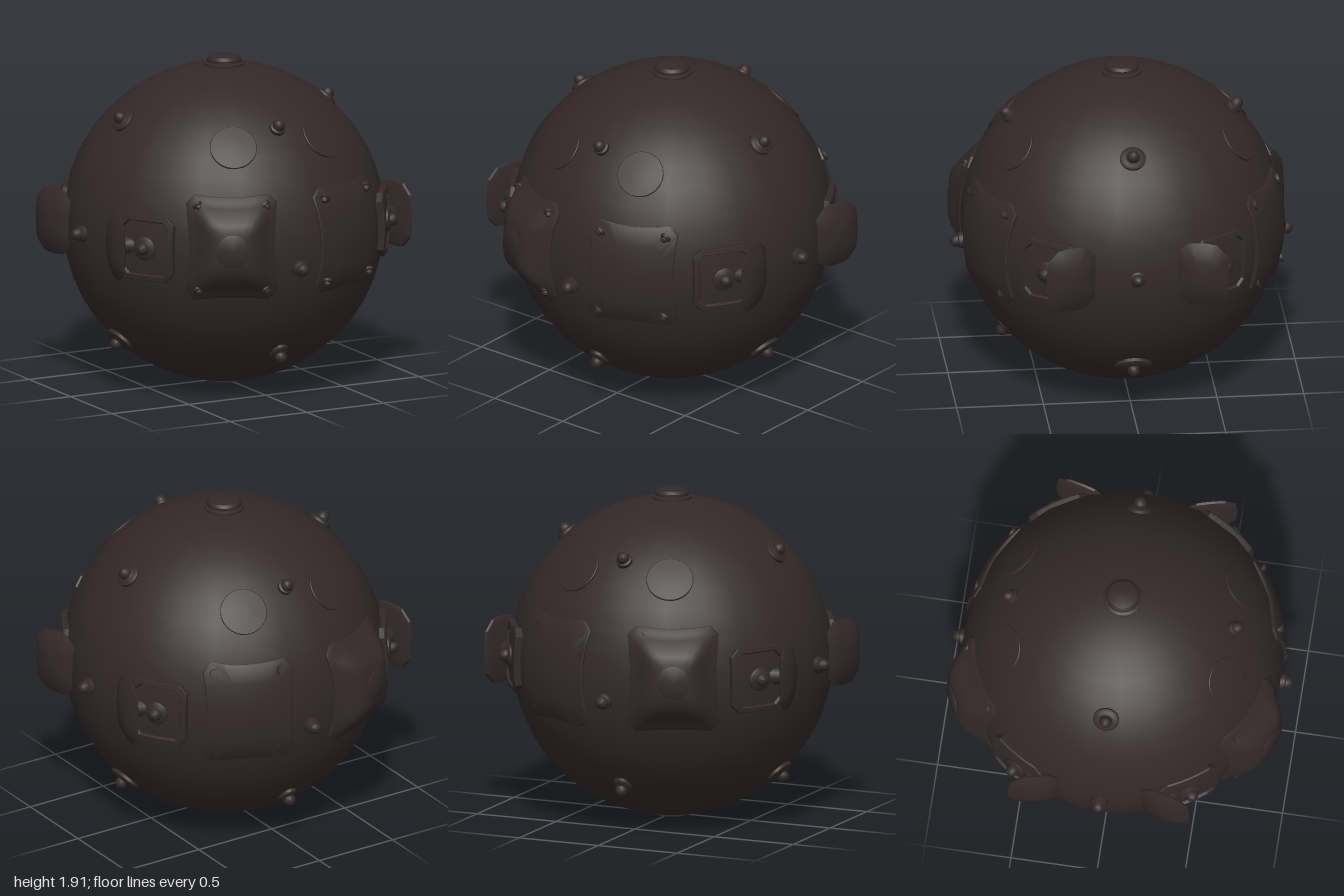
import * as THREE from 'three';
import { toCreasedNormals } from 'three/addons/utils/BufferGeometryUtils.js';

const R = 0.925, CY = 0.93;

export function createModel() {
  const model = new THREE.Group();
  model.name = 'studdedSphere';
  const iron = new THREE.MeshStandardMaterial({ color: 0x332828 });
  iron.name = 'dark iron';

  const body = new THREE.Group();
  body.name = 'body';
  body.position.y = CY;
  model.add(body);

  const add = (parent, name, geo) => {
    const m = new THREE.Mesh(geo, iron);
    m.name = name;
    parent.add(m);
    return m;
  };

  // Group at the sphere centre whose +z points along a direction
  const facing = (name, x, y, z) => {
    const g = new THREE.Group();
    g.name = name;
    g.lookAt(x, y, z);
    body.add(g);
    return g;
  };

  // Chamfered rectangle with slightly waisted edges
  const rectOutline = (w, h, c, pinch) => {
    const s = new THREE.Shape(), a = w / 2, b = h / 2;
    s.moveTo(a, -b + c);
    s.quadraticCurveTo(a - pinch, 0, a, b - c);
    s.lineTo(a - c, b);
    s.quadraticCurveTo(0, b - pinch, -a + c, b);
    s.lineTo(-a, b - c);
    s.quadraticCurveTo(-a + pinch, 0, -a, -b + c);
    s.lineTo(-a + c, -b);
    s.quadraticCurveTo(0, -b + pinch, a - c, -b);
    s.lineTo(a, -b + c);
    return s.getPoints(6).slice(0, -1);
  };
  const circleOutline = (r, n = 28) => Array.from({ length: n }, (_, i) =>
    new THREE.Vector2(r * Math.cos(i * 2 * Math.PI / n), r * Math.sin(i * 2 * Math.PI / n)));

  // Loft of scaled outlines [scale, height]; follows the sphere when curved
  const shell = (outline, rings, curved = true, crease = 0.55) => {
    const pos = [], idx = [], n = outline.length;
    for (const [s, h] of rings) for (const p of outline) {
      const u = p.x * s, v = p.y * s;
      if (curved) {
        const k = 1 + h / R;
        pos.push(u * k, v * k, Math.sqrt(R * R - u * u - v * v) * k);
      } else pos.push(u, v, h);
    }
    for (let j = 0; j < rings.length - 1; j++) for (let i = 0; i < n; i++) {
      const a = j * n + i, b = j * n + (i + 1) % n, c = a + n, d = b + n;
      if (rings[j][0] > 0) idx.push(a, b, c);
      if (rings[j + 1][0] > 0) idx.push(b, d, c);
    }
    const g = new THREE.BufferGeometry();
    g.setAttribute('position', new THREE.Float32BufferAttribute(pos, 3));
    g.setIndex(idx);
    return toCreasedNormals(g, crease);
  };

  const lathe = (pts, seg = 16) => toCreasedNormals(
    new THREE.LatheGeometry(pts.map(p => new THREE.Vector2(...p)), seg), 0.6);
  const studGeo = lathe([[0.047, -0.03], [0.047, 0.02], [0.036, 0.026], [0.036, 0.04],
    [0.03, 0.056], [0.017, 0.068], [0, 0.073]]).rotateX(Math.PI / 2);
  const baseGeo = lathe([[1, -0.03], [1, 0.012], [0.8, 0.022], [0, 0.022]], 20).rotateX(Math.PI / 2);
  const rivetGeo = lathe([[0.032, -0.01], [0.032, 0.006], [0.022, 0.01], [0.02, 0.02],
    [0.012, 0.03], [0, 0.032]], 12).rotateX(Math.PI / 2);

  // Main sphere with an equatorial face band
  add(body, 'sphere', new THREE.SphereGeometry(R, 24, 23).rotateY(Math.PI / 24));

  // Top button and bottom disc
  add(body, 'topButton', lathe([[0.115, 0.88], [0.115, 0.928], [0.098, 0.936], [0.098, 0.952],
    [0.085, 0.968], [0.05, 0.978], [0, 0.98]], 24));
  add(body, 'bottomDisc', new THREE.CylinderGeometry(0.11, 0.11, 0.04, 20)).position.y = -0.91;

  // Studs on the four sides, at the equator, above and below
  const stud = (x, y, z, bx, by) => {
    const g = facing('stud', x, y, z);
    add(g, 'studDome', studGeo).position.z = R - 0.003;
    if (bx) {
      const b = add(g, 'studBase', baseGeo);
      b.position.z = R - 0.003;
      b.scale.set(bx, by, 1);
    }
  };
  for (const s of [-1, 1]) {
    stud(0, -0.1, s * 0.92);
    stud(0, 0.67, s * 0.645);
    stud(0, -0.665, s * 0.68, 0.055, 0.07);
    stud(s * 0.92, 0.02, 0);
    stud(s * 0.665, 0.665, 0, 0.075, 0.07);
    stud(s * 0.7, -0.65, 0, 0.105, 0.08);
  }

  const plateOutline = rectOutline(0.52, 0.61, 0.05, 0.03);
  const flatRings = [[1, -0.02], [1, 0.008], [0.97, 0.014], [0.6, 0.014], [0.3, 0.014], [0, 0.014]];
  const bulgeRings = [[1, -0.02], [1, 0.008], [0.97, 0.014], [0.88, 0.02], [0.75, 0.042],
    [0.6, 0.075], [0.45, 0.097], [0.32, 0.105], [0, 0.105]];
  const frameOutline = rectOutline(0.35, 0.37, 0.045, 0);
  const lidOutline = rectOutline(0.29, 0.37, 0.06, -0.02);
  const spotOutline = circleOutline(0.135);

  for (const sx of [-1, 1]) for (const sz of [-1, 1]) {
    // Riveted plates: bulging on the right half, flush on the left half
    const az = (sx < 0 ? 25.5 : 24) * Math.PI / 180;
    const plate = facing('plate', sx * Math.sin(az), 0.045, sz * Math.cos(az));
    add(plate, sx < 0 ? 'bulgedPlate' : 'flatPlate',
      shell(plateOutline, sx < 0 ? bulgeRings : flatRings, true, 0.7));
    if (sx < 0) {
      const spot = add(plate, 'bulgeSpot',
        shell(circleOutline(0.085, 20), [[1, 0.09], [1, 0.108], [0.9, 0.112], [0, 0.112]]));
      spot.name = 'bulgeSpot';
    }
    for (const u of [-0.19, 0.19]) for (const v of [-0.24, 0.24]) {
      const r = add(plate, 'rivet', rivetGeo);
      r.position.set(u, v, Math.sqrt(R * R - u * u - v * v)).multiplyScalar(1.017);
      r.lookAt(r.position.clone().multiplyScalar(2));
    }

    // Flush round cover on the upper slope
    const cover = facing('roundCover', sx * 0.29, 0.59, sz * 0.65);
    add(cover, 'coverDisc', shell(spotOutline, [[1, -0.02], [1, 0.003], [0.97, 0.006], [0.5, 0.006], [0, 0.006]]));

    // Hatch: curved frame with raised rim and central knob
    const hatch = facing('hatch', sx * 0.78, 0.02, sz * 0.5);
    add(hatch, 'hatchFrame', shell(frameOutline, [[1, -0.02], [1, 0.022], [0.97, 0.03], [0.84, 0.03],
      [0.81, 0.014], [0.4, 0.014], [0, 0.014]]));
    const base = add(hatch, 'knobBase', baseGeo);
    base.position.z = R + 0.01;
    base.scale.set(0.068, 0.068, 1);
    const knob = add(hatch, 'hatchKnob', studGeo);
    knob.position.z = R + 0.006;

    // Domed lid swung open on a short stem
    const lid = new THREE.Group();
    lid.name = 'hatchLid';
    lid.lookAt(sx * 0.97, 0, -sz * 0.24);
    lid.position.set(sx * 0.905, 0.023, sz * 0.375);
    body.add(lid);
    add(lid, 'lidShell', shell(lidOutline, [[0, -0.022], [0.8, -0.022], [0.97, -0.012], [1, 0],
      [0.75, 0.026], [0.45, 0.042], [0, 0.048]], false, 0.5));
    const stem = add(lid, 'lidStem', new THREE.CylinderGeometry(0.045, 0.055, 0.09, 12).rotateX(Math.PI / 2));
    stem.position.z = -0.05;
  }
  return model;
}
